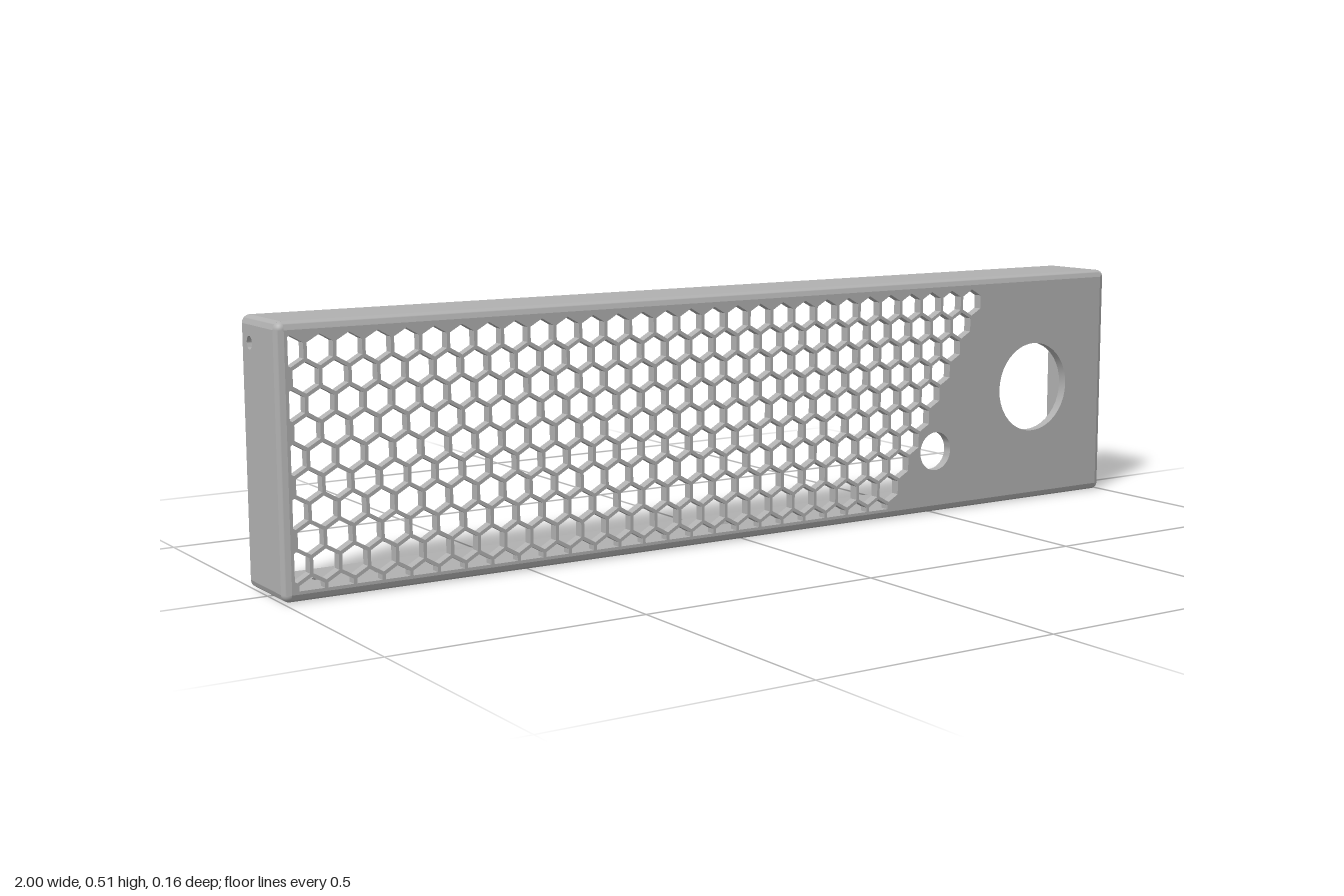
import * as THREE from 'three';
import { toCreasedNormals } from 'three/addons/utils/BufferGeometryUtils.js';

const H = 0.508, D = 0.08, T = 0.02, R = 0.015; // height, half depth, wall, edge radius
const FLAT = D - R; // where the front rounding begins

function rectShape(x0, y0, x1, y1) {
  return new THREE.Shape([[x0, y0], [x1, y0], [x1, y1], [x0, y1]].map(p => new THREE.Vector2(...p)));
}

function addRound(shape, x, y, r) {
  const hole = new THREE.Path();
  hole.absarc(x, y, r, 0, Math.PI * 2, true);
  shape.holes.push(hole);
}

function extrude(shape, depth, curveSegments = 20) {
  const geo = new THREE.ExtrudeGeometry(shape, { depth, bevelEnabled: false, curveSegments });
  return toCreasedNormals(geo, 0.6);
}

// Keep the part of a polygon where side * (p[axis] - limit) >= 0
function clip(points, axis, limit, side) {
  const out = [];
  points.forEach((a, i) => {
    const b = points[(i + 1) % points.length];
    const da = side * (a[axis] - limit), db = side * (b[axis] - limit);
    if (da >= 0) out.push(a);
    if (da * db < 0) out.push(a.clone().lerp(b, da / (da - db)));
  });
  return out;
}

// Honeycomb of upright hexagons with a slanted right edge
function addHoneycomb(shape) {
  const pitch = 0.0563, row = pitch * Math.sqrt(3) / 2, size = 0.0286;
  for (let j = 0; j < 10; j++) {
    const y = 0.455 - j * row;
    for (let x = 0.602 - j * pitch / 2; x > -1; x -= pitch) {
      let hex = [];
      for (let k = 0; k < 6; k++) {
        const a = Math.PI / 6 + k * Math.PI / 3;
        hex.push(new THREE.Vector2(x + size * Math.cos(a), y + size * Math.sin(a)));
      }
      hex = clip(hex, 'x', -1 + T + 0.001, 1);
      hex = clip(hex, 'y', T + 0.001, 1);
      hex = clip(hex, 'y', H - T - 0.001, -1);
      if (hex.length > 2 && Math.abs(THREE.ShapeUtils.area(hex)) > 1e-4) {
        shape.holes.push(new THREE.Path(hex));
      }
    }
  }
}

// Solid quarter-round rod along z, centred
function quarterRod(start, length) {
  const s = new THREE.Shape();
  s.moveTo(0, 0);
  s.absarc(0, 0, R, start, start + Math.PI / 2, false);
  return extrude(s, length, 8).translate(0, 0, -length / 2);
}

export function createModel() {
  const model = new THREE.Group();
  model.name = 'ventedCover';
  const grey = new THREE.MeshStandardMaterial({ color: 0xb0b0b0 });
  grey.name = 'grey';
  const add = (name, geo, x = 0, y = 0, z = 0) => {
    const mesh = new THREE.Mesh(geo, grey);
    mesh.name = name;
    mesh.position.set(x, y, z);
    model.add(mesh);
  };

  // Front panel with grille, socket opening and switch opening
  const front = rectShape(-1 + R, R, 1 - R, H - R);
  addRound(front, 0.786, 0.255, 0.099);
  addRound(front, 0.505, 0.135, 0.042);
  addHoneycomb(front);
  add('frontPanel', extrude(front, T), 0, 0, D - T);

  // Side walls, each with a screw hole near the top back
  for (const side of [1, -1]) {
    const wall = rectShape(-FLAT, R, D, H - R);
    addRound(wall, 0.047, 0.46, 0.0125);
    add(side > 0 ? 'leftWall' : 'rightWall', extrude(wall, T).rotateY(Math.PI / 2), side > 0 ? 1 - T : -1);
  }

  // Top wall, and bottom wall with three screw holes
  const top = rectShape(-1 + R, -FLAT, 1 - R, D);
  const bottom = rectShape(-1 + R, -FLAT, 1 - R, D);
  for (const x of [-0.9, 0, 0.9]) addRound(bottom, x, 0, 0.0125);
  add('topWall', extrude(top, T).rotateX(-Math.PI / 2), 0, H - T);
  add('bottomWall', extrude(bottom, T).rotateX(-Math.PI / 2));

  // Rounded edges and corners
  const q = Math.PI / 2;
  for (const sx of [1, -1]) {
    const x = sx * (1 - R);
    const upright = quarterRod(sx > 0 ? -q : 2 * q, H - 2 * R).rotateX(-q);
    add('frontSideEdge', upright, x, H / 2, FLAT);
    for (const top of [true, false]) {
      const y = top ? H - R : R;
      const start = top ? (sx > 0 ? 0 : q) : (sx > 0 ? 3 * q : 2 * q);
      add('depthEdge', quarterRod(start, D + FLAT), x, y, (FLAT - D) / 2);
      const ball = new THREE.SphereGeometry(R, 8, 8, sx > 0 ? q : 0, q, top ? 0 : q, q);
      add('frontCorner', ball, x, y, FLAT);
    }
  }
  add('frontTopEdge', quarterRod(q, 2 - 2 * R).rotateY(q), 0, H - R, FLAT);
  add('frontBottomEdge', quarterRod(2 * q, 2 - 2 * R).rotateY(q), 0, R, FLAT);

  return model;
}
